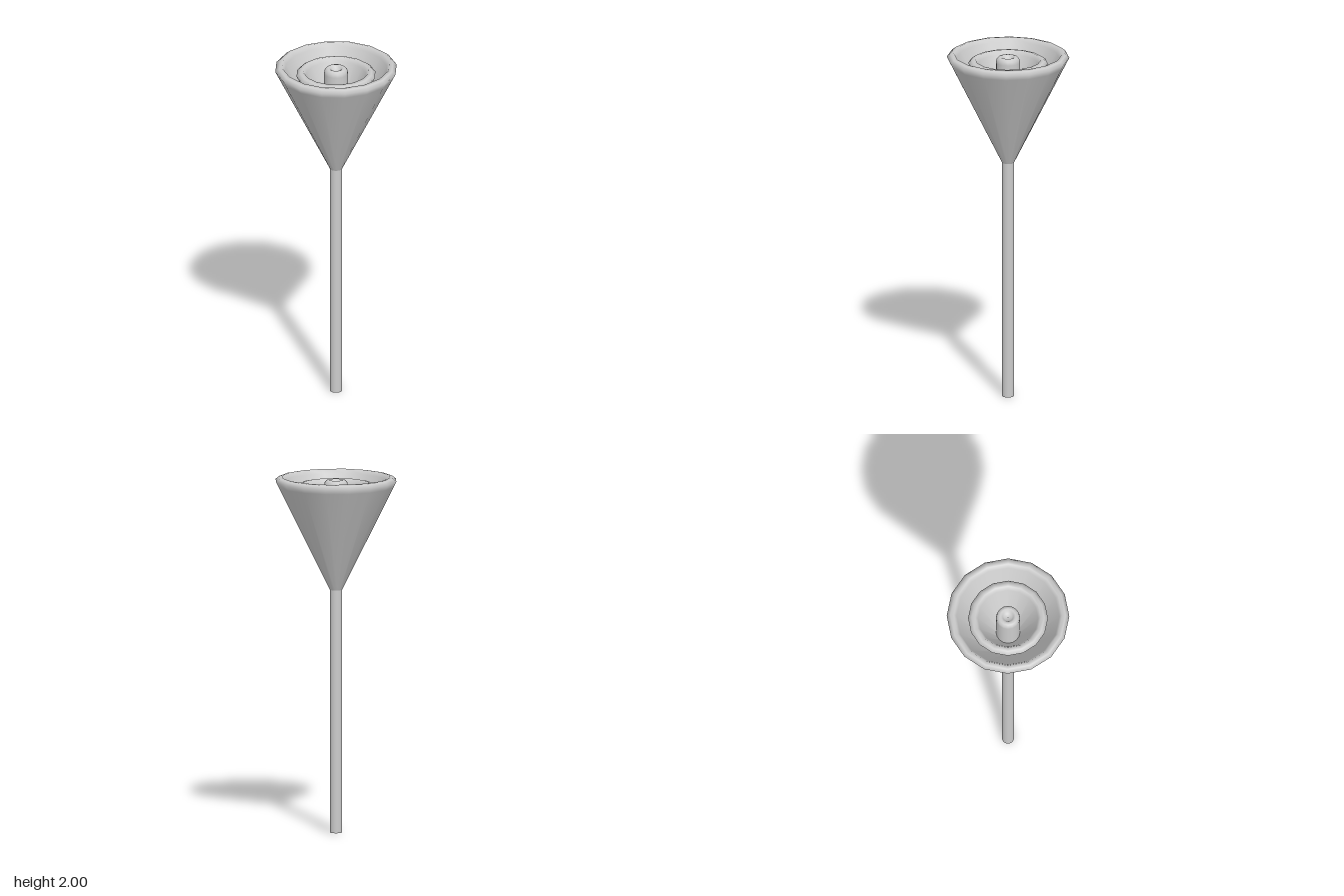
import * as THREE from 'three';

const SIDES = 16;
const material = new THREE.MeshStandardMaterial({ color: 0xcccccc, side: THREE.DoubleSide });

// Revolve an [r, y] profile into a named mesh
function turned(name, profile) {
  const points = profile.map(([r, y]) => new THREE.Vector2(r, y));
  const mesh = new THREE.Mesh(new THREE.LatheGeometry(points, SIDES), material);
  mesh.name = name;
  return mesh;
}

// Thick-walled funnel: outer wall up, soft rim, inner wall back down
function funnel(name, { rBase, yBase, rRim, yRim, lip, lipRise, rInner, yInner }) {
  const mix = (a, b, t) => a + (b - a) * t;
  return turned(name, [
    [rBase, yBase],
    [mix(rBase, rRim, 0.95), mix(yBase, yRim, 0.95)],
    [rRim, yRim],
    [rRim - lip / 2, yRim + lipRise * 0.8],
    [rRim - lip, yRim + lipRise],
    [rRim - lip - 0.015, yRim + lipRise - 0.025],
    [rInner, yInner],
  ]);
}

export function createModel() {
  const group = new THREE.Group();

  // Slender stem, closed at both ends
  const stem = new THREE.Mesh(new THREE.CylinderGeometry(0.034, 0.034, 1.4, SIDES), material);
  stem.position.y = 0.7;
  stem.name = 'stem';
  group.add(stem);

  // Two nested trumpet-shaped cups
  group.add(funnel('outerCup', {
    rBase: 0.034, yBase: 1.365, rRim: 0.341, yRim: 1.98,
    lip: 0.04, lipRise: 0.02, rInner: 0.02, yInner: 1.42,
  }));
  group.add(funnel('innerCup', {
    rBase: 0.034, yBase: 1.55, rRim: 0.222, yRim: 1.945,
    lip: 0.04, lipRise: 0.02, rInner: 0.02, yInner: 1.62,
  }));

  // Central tube with a rounded top and a small dimple
  group.add(turned('centreTube', [
    [0.067, 1.6], [0.067, 1.95], [0.064, 1.968], [0.054, 1.98],
    [0.042, 1.983], [0.03, 1.977], [0.021, 1.96], [0, 1.958],
  ]));

  return group;
}
